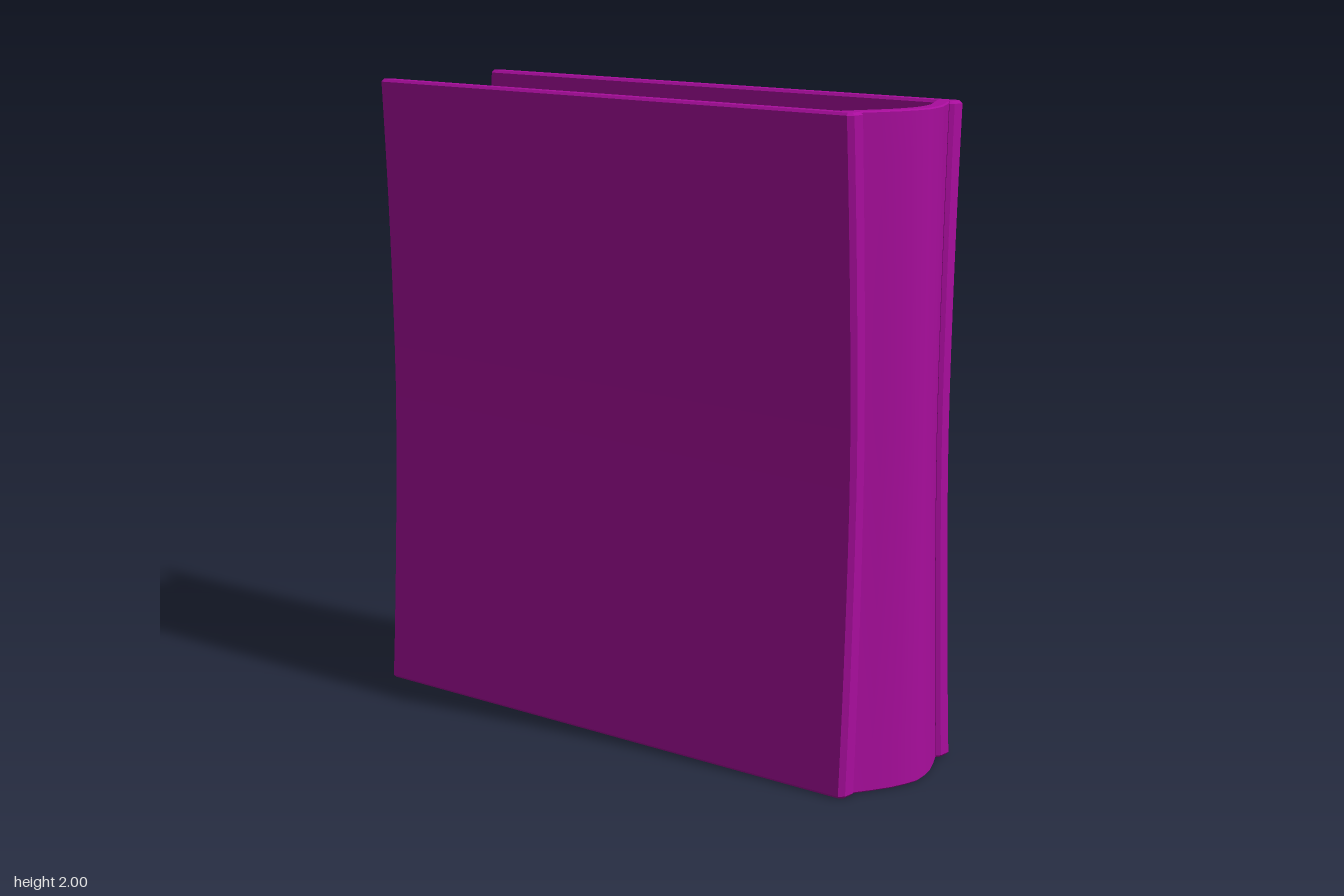
import * as THREE from 'three';
import { toCreasedNormals } from 'three/addons/utils/BufferGeometryUtils.js';

// Half width of the book at height y: pinched in at mid height
const pinch = (y) => (0.242 + 0.038 * Math.pow(Math.abs(y - 1), 1.6)) / 0.28;

// Extrude an outline of [x, z] points from y0 to y1, then pinch it in x
function slab(outline, y0, y1, bevel) {
  const shape = new THREE.Shape(outline.map(([x, z]) => new THREE.Vector2(x, -z)));
  const geo = new THREE.ExtrudeGeometry(shape, {
    depth: y1 - y0 - 2 * bevel,
    steps: 16,
    bevelEnabled: bevel > 0,
    bevelThickness: bevel,
    bevelSize: bevel,
    bevelOffset: -bevel,
    bevelSegments: 1,
  });
  geo.rotateX(-Math.PI / 2);
  geo.translate(0, y0 + bevel, 0);
  const p = geo.attributes.position;
  for (let i = 0; i < p.count; i++) p.setX(i, p.getX(i) * pinch(p.getY(i)));
  return toCreasedNormals(geo, 0.5);
}

// Mirror half an outline, listed from x = 0 outward, to the other side
const mirrored = (half) => [
  ...half.slice().reverse(),
  ...half.filter(([x]) => x > 0).map(([x, z]) => [-x, z]),
];

export function createModel() {
  const group = new THREE.Group();
  const material = new THREE.MeshStandardMaterial({ color: 0xa80d9c });
  const add = (name, geo) => {
    const mesh = new THREE.Mesh(geo, material);
    mesh.name = name;
    group.add(mesh);
  };

  // Two cover boards with softened long edges
  const board = [
    [0.23, -0.965], [0.245, -0.98], [0.265, -0.98], [0.28, -0.965],
    [0.28, 0.895], [0.265, 0.91], [0.225, 0.91], [0.213, 0.9],
    [0.213, 0.875], [0.23, 0.84],
  ];
  add('leftCover', slab(board, 0, 2, 0.008));
  add('rightCover', slab(board.map(([x, z]) => [-x, z]).reverse(), 0, 2, 0.008));

  // Rounded spine: outer curve followed by the inner curve
  const outer = mirrored([[0, 0.98], [0.05, 0.971], [0.1, 0.956], [0.16, 0.927], [0.215, 0.897], [0.24, 0.887]]);
  const inner = mirrored([[0, 0.93], [0.05, 0.923], [0.1, 0.909], [0.16, 0.877], [0.23, 0.84], [0.24, 0.84]]);
  add('spine', slab([...outer, ...inner.reverse()], 0, 2, 0.004));

  // Page block, recessed at the top, bottom and back edge
  const pages = mirrored([[0, 0.932], [0.05, 0.925], [0.1, 0.911], [0.16, 0.879], [0.232, 0.841], [0.232, -0.91]]);
  add('pages', slab(pages, 0.06, 1.94, 0));

  return group;
}
